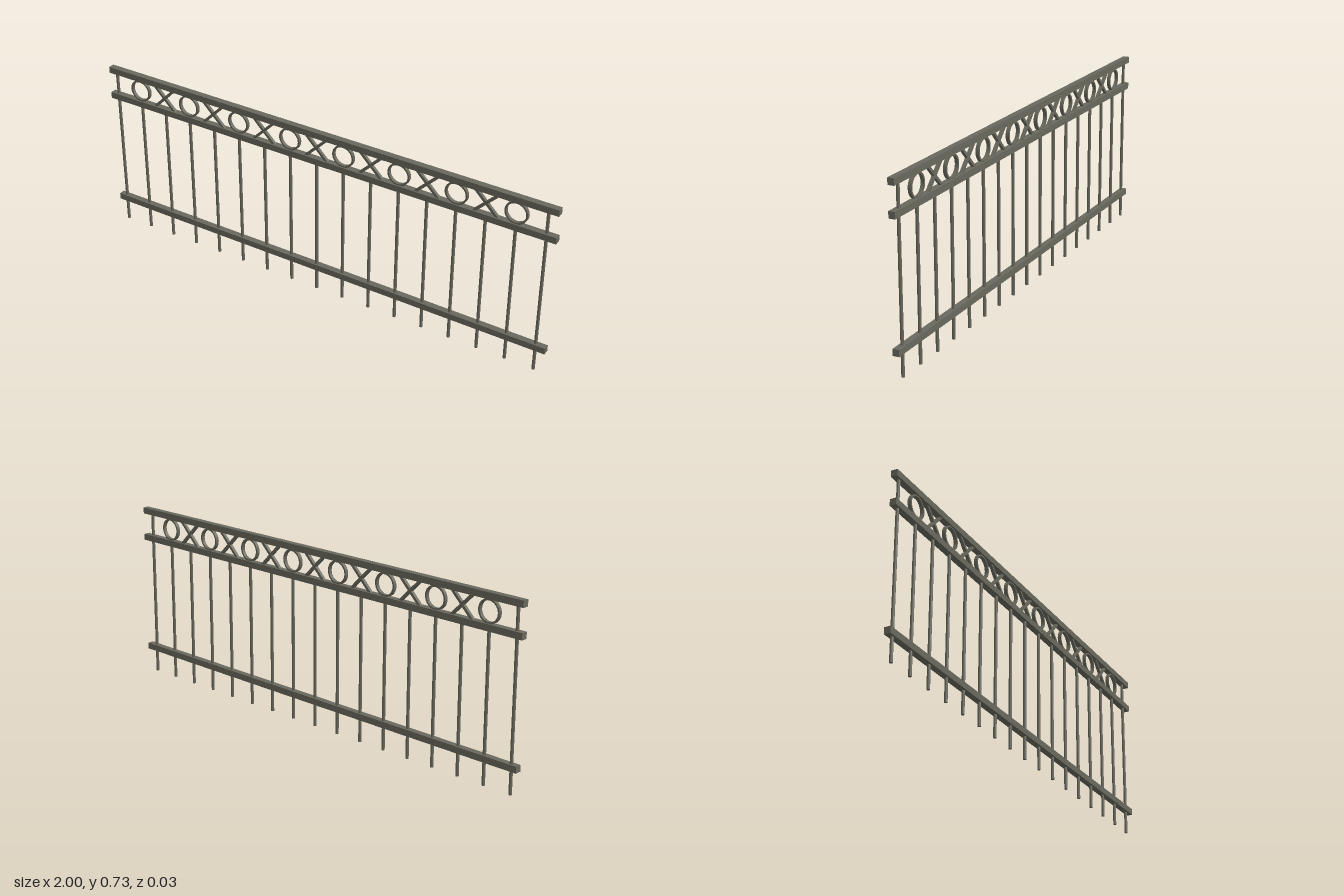
import * as THREE from 'three';

export function createModel() {
  const fence = new THREE.Group();
  fence.name = 'fencePanel';
  const iron = new THREE.MeshStandardMaterial({ color: 0x68685d });
  iron.name = 'weathered iron';

  const add = (name, geometry, x, y, turn = 0) => {
    const mesh = new THREE.Mesh(geometry, iron);
    mesh.name = name;
    mesh.position.set(x, y, 0);
    mesh.rotation.z = turn;
    fence.add(mesh);
  };

  // Three horizontal square rails
  const railSize = 0.026, topY = 0.716, middleY = 0.6, bottomY = 0.107;
  const rail = new THREE.BoxGeometry(2, railSize, railSize);
  add('topRail', rail, 0, topY);
  add('middleRail', rail, 0, middleY);
  add('bottomRail', rail, 0, bottomY);

  // Round bars: the end posts reach the top rail
  const bar = (height) => new THREE.CylinderGeometry(0.0064, 0.0064, height, 12);
  const picket = bar(middleY), post = bar(topY);

  // Flat ring with a round hole
  const ringShape = new THREE.Shape().absarc(0, 0, 0.0465, 0, Math.PI * 2);
  ringShape.holes.push(new THREE.Path().absarc(0, 0, 0.0395, 0, Math.PI * 2, true));
  const ring = new THREE.ExtrudeGeometry(ringShape, { depth: 0.014, bevelEnabled: false, curveSegments: 16 });
  ring.translate(0, 0, -0.007);

  // Diagonal strip for the crosses
  const strip = new THREE.BoxGeometry(0.138, 0.011, 0.0125);

  // Pickets with rings and crosses alternating above them
  const count = 17, firstX = -0.97, step = 0.1204;
  const friezeY = (topY + middleY) / 2;
  for (let i = 0; i < count; i++) {
    const x = firstX + i * step;
    const isEnd = i === 0 || i === count - 1;
    if (isEnd) {
      add('endPost', post, x, topY / 2);
      continue;
    }
    add('picket', picket, x, middleY / 2);
    if (i % 2) {
      add('ring', ring, x, friezeY);
    } else {
      add('crossStrip', strip, x, friezeY, Math.PI / 4);
      add('crossStrip', strip, x, friezeY, -Math.PI / 4);
    }
  }
  return fence;
}
